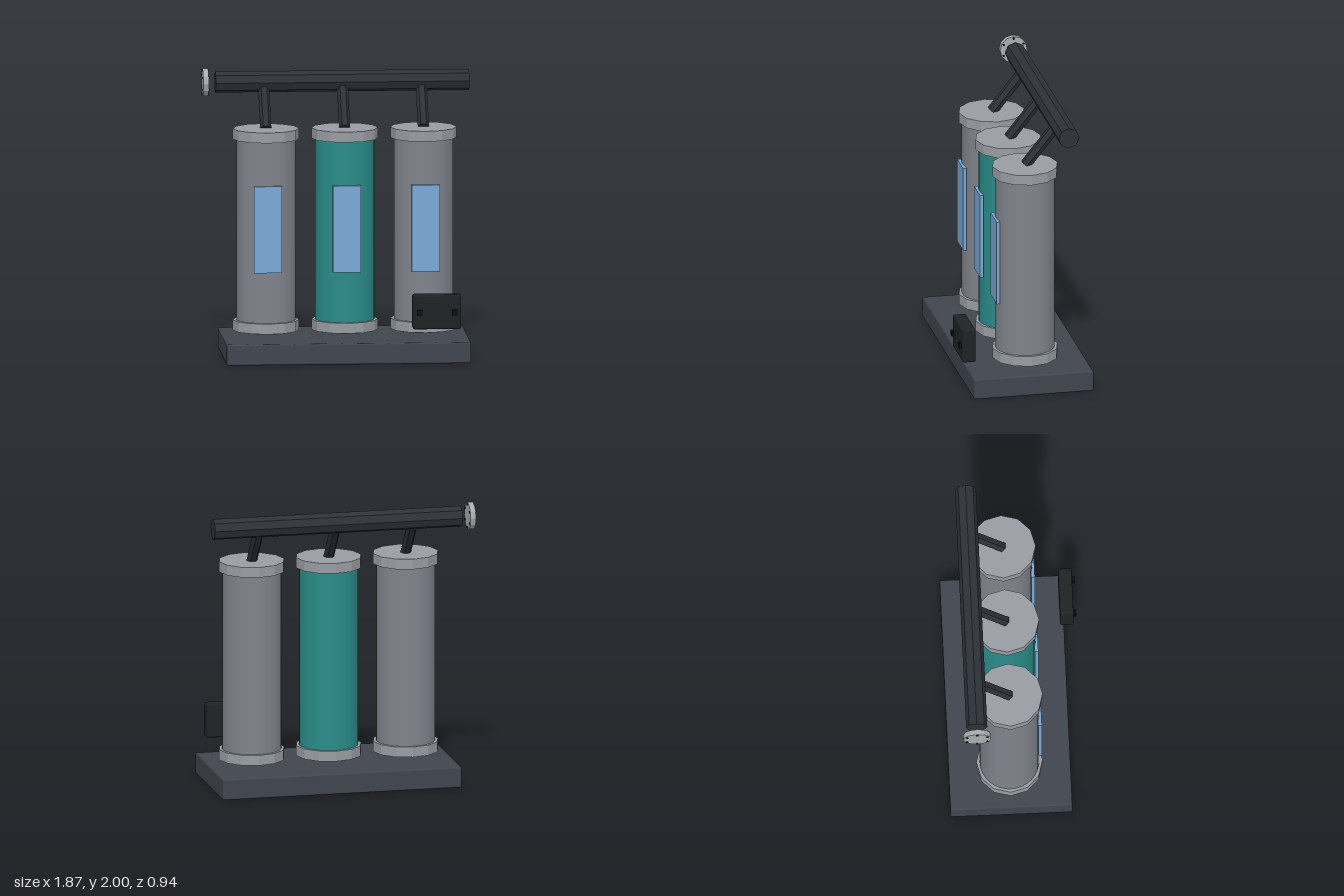
import * as THREE from 'three';
import { RoundedBoxGeometry } from 'three/addons/geometries/RoundedBoxGeometry.js';

const mat = (color, flatShading = false) => new THREE.MeshStandardMaterial({ color, flatShading });

const M = {
  base: mat(0x40454e),
  body: mat(0x80848b),
  activeBody: mat(0x2a8c88),
  cap: mat(0x999da3, true),
  panel: mat(0x7ba9d6),
  pipe: mat(0x2e3138, true),
  flange: mat(0xaaadae, true),
  box: mat(0x202224),
  dark: mat(0x0e0f10, true),
};

function add(parent, name, geometry, material, x = 0, y = 0, z = 0) {
  const mesh = new THREE.Mesh(geometry, material);
  mesh.name = name;
  mesh.position.set(x, y, z);
  parent.add(mesh);
  return mesh;
}

const TANK_Z = -0.042;
const PIPE_Y = 1.903;
const PIPE_Z = -0.285;

// One upright tank with end caps, front panel and an arm up to the header pipe
function makeTank(bodyMaterial) {
  const tank = new THREE.Group();
  tank.name = 'tank';
  add(tank, 'tankBody', new THREE.CylinderGeometry(0.207, 0.207, 1.415, 32), bodyMaterial, 0, 0.8925, TANK_Z);

  const cap = new THREE.CylinderGeometry(0.232, 0.232, 0.073, 12);
  add(tank, 'bottomCap', cap, M.cap, 0, 0.226, TANK_Z);
  add(tank, 'topCap', cap, M.cap, 0, 1.573, TANK_Z);

  add(tank, 'frontPanel', new THREE.BoxGeometry(0.196, 0.61, 0.025), M.panel, 0, 0.925, 0.168);

  // Slanted hexagonal arm
  const from = new THREE.Vector3(0, 1.608, -0.047);
  const to = new THREE.Vector3(0, PIPE_Y, PIPE_Z);
  const dir = to.clone().sub(from);
  const armGeometry = new THREE.CylinderGeometry(0.039, 0.039, dir.length(), 6).rotateY(Math.PI / 6);
  const arm = add(tank, 'connectorArm', armGeometry, M.pipe);
  arm.position.copy(from).add(to).multiplyScalar(0.5);
  arm.rotation.x = Math.atan2(dir.z, dir.y);
  return tank;
}

export function createModel() {
  const model = new THREE.Group();
  model.name = 'tankRack';

  // Base slab
  add(model, 'base', new RoundedBoxGeometry(1.71, 0.148, 0.852, 2, 0.012), M.base, 0.045, 0.074, -0.041);

  // Row of three tanks, the middle one coloured
  [-0.506, 0.045, 0.596].forEach((x, i) => {
    const tank = makeTank(i === 1 ? M.activeBody : M.body);
    tank.position.x = x;
    model.add(tank);
  });

  // Octagonal header pipe
  const pipe = new THREE.CylinderGeometry(0.074, 0.074, 1.773, 8).rotateZ(Math.PI / 2);
  add(model, 'headerPipe', pipe, M.pipe, 0.0435, PIPE_Y, PIPE_Z);

  // End flange with a ring of bolts
  const flange = new THREE.Group();
  flange.name = 'endFlange';
  flange.position.set(-0.913, PIPE_Y, PIPE_Z);
  model.add(flange);
  add(flange, 'flangeDisc', new THREE.CylinderGeometry(0.097, 0.097, 0.038, 12).rotateZ(Math.PI / 2), M.flange);
  const bolt = new THREE.CylinderGeometry(0.008, 0.008, 0.05, 6).rotateZ(Math.PI / 2);
  for (let i = 0; i < 6; i++) {
    const a = (i / 6) * Math.PI * 2;
    add(flange, 'flangeBolt', bolt, M.dark, 0, 0.082 * Math.cos(a), 0.082 * Math.sin(a));
  }

  // Control box with two buttons
  const control = new THREE.Group();
  control.name = 'controlBox';
  control.position.set(0.656, 0.372, 0.403);
  model.add(control);
  add(control, 'controlHousing', new RoundedBoxGeometry(0.338, 0.242, 0.095, 2, 0.015), M.box);
  for (const side of [-1, 1]) {
    add(control, 'controlButton', new THREE.BoxGeometry(0.038, 0.038, 0.016), M.dark, side * 0.123, -0.001, 0.06);
  }
  return model;
}
